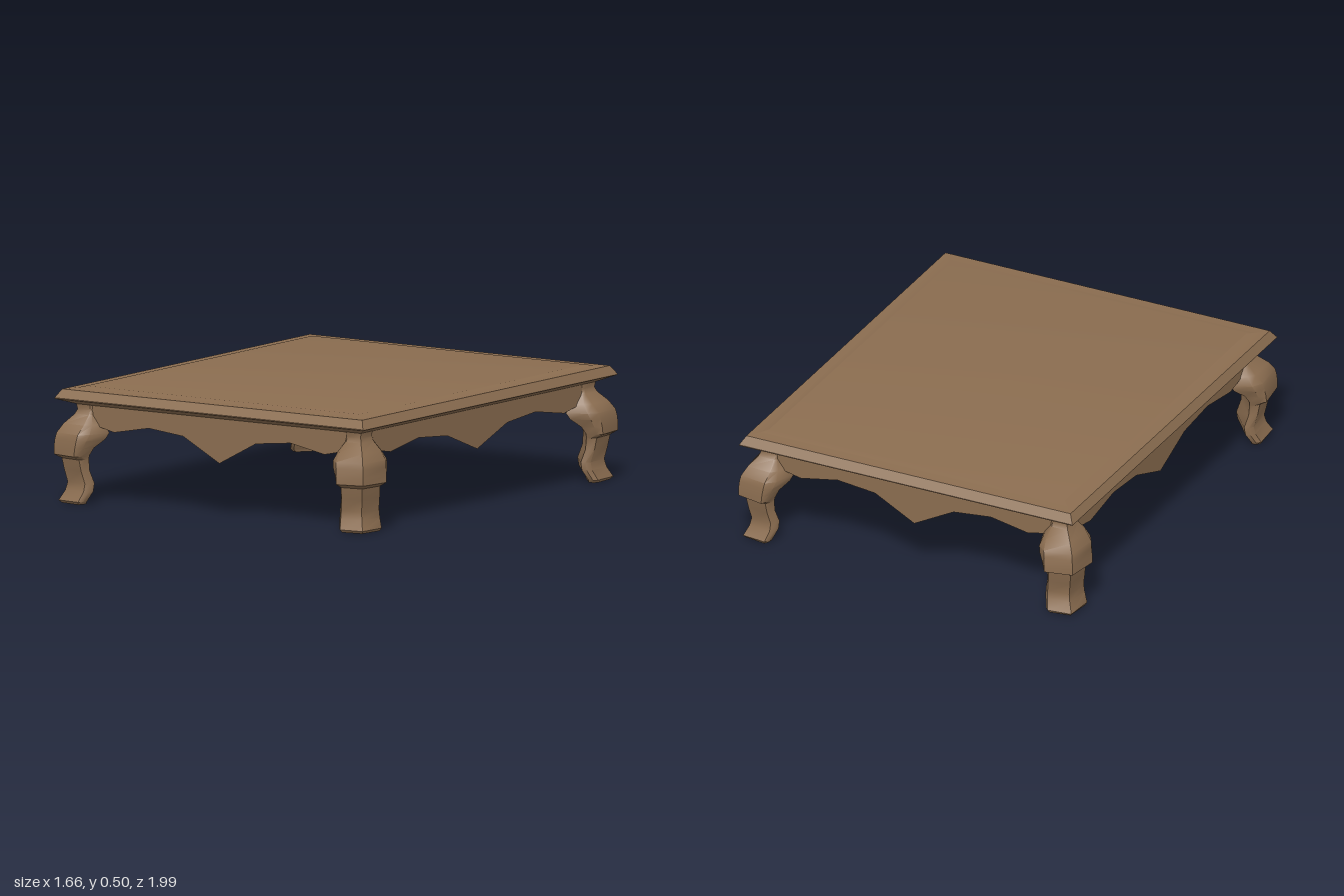
import * as THREE from 'three';
import { toCreasedNormals } from 'three/addons/utils/BufferGeometryUtils.js';

const DEPTH = 1.2; // the table is stretched along z by this ratio

const wood = new THREE.MeshStandardMaterial({ color: 0x8b6d50 });

// Skins a stack of rings (arrays of [x, y, z], anticlockwise from above) and caps both ends
function loft(rings, crease) {
  const n = rings[0].length;
  const pos = [];
  const tri = (a, b, c) => pos.push(...a, ...b, ...c);
  for (let r = 0; r < rings.length - 1; r++) {
    for (let j = 0; j < n; j++) {
      const k = (j + 1) % n;
      const [a, b, c, d] = [rings[r][j], rings[r][k], rings[r + 1][k], rings[r + 1][j]];
      tri(a, b, c);
      tri(a, c, d);
    }
  }
  const cap = (ring, up) => {
    const mid = [0, 1, 2].map((i) => ring.reduce((s, p) => s + p[i], 0) / n);
    ring.forEach((p, j) => {
      const q = ring[(j + 1) % n];
      if (up) tri(mid, p, q);
      else tri(mid, q, p);
    });
  };
  cap(rings[0], false);
  cap(rings[rings.length - 1], true);
  const geo = new THREE.BufferGeometry();
  geo.setAttribute('position', new THREE.Float32BufferAttribute(pos, 3));
  return toCreasedNormals(geo, crease);
}

function addMesh(parent, name, geo) {
  const mesh = new THREE.Mesh(geo, wood);
  mesh.name = name;
  parent.add(mesh);
  return mesh;
}

// Tabletop: half width and height of each moulding step, with a slightly raised panel
function tabletopGeometry() {
  const steps = [
    [0.742, 0.427], [0.806, 0.454], [0.806, 0.458], [0.784, 0.495], [0.74, 0.498], [0.715, 0.504],
  ];
  const rings = steps.map(([h, y]) =>
    [[h, h], [h, -h], [-h, -h], [-h, h]].map(([x, z]) => [x, y, z * DEPTH]));
  return loft(rings, 0.2);
}

// Leg: each level holds y, outer reach, outer start, corner, side edge (far, near), back facet (far, near)
const LEG_LEVELS = [
  [0.0, 0.798, 0.69, 0.785, 0.785, 0.678, 0.765, 0.674],
  [0.012, 0.804, 0.685, 0.794, 0.79, 0.67, 0.77, 0.666],
  [0.055, 0.784, 0.672, 0.775, 0.77, 0.655, 0.75, 0.649],
  [0.09, 0.778, 0.67, 0.768, 0.765, 0.653, 0.745, 0.647],
  [0.145, 0.79, 0.68, 0.778, 0.775, 0.667, 0.758, 0.661],
  [0.195, 0.797, 0.685, 0.785, 0.78, 0.668, 0.762, 0.662],
  [0.213, 0.83, 0.685, 0.808, 0.808, 0.668, 0.765, 0.657],
  [0.245, 0.828, 0.683, 0.808, 0.806, 0.66, 0.75, 0.645],
  [0.28, 0.822, 0.68, 0.805, 0.8, 0.645, 0.718, 0.613],
  [0.307, 0.818, 0.675, 0.8, 0.79, 0.636, 0.705, 0.602],
  [0.345, 0.788, 0.668, 0.78, 0.765, 0.642, 0.715, 0.62],
  [0.385, 0.75, 0.672, 0.748, 0.742, 0.662, 0.725, 0.656],
  [0.405, 0.742, 0.672, 0.74, 0.736, 0.662, 0.725, 0.658],
  [0.432, 0.746, 0.672, 0.744, 0.738, 0.662, 0.725, 0.656],
];

function legGeometry(sx, sz) {
  const rings = LEG_LEVELS.map(([y, o, b, c, e, f, d, i]) => {
    const ring = [[c, c], [o, b], [e, f], [d, i], [i, d], [f, e], [b, o]]
      .map(([x, z]) => [x * sx, y, z * sz * DEPTH]);
    return sx * sz > 0 ? ring : ring.reverse();
  });
  return loft(rings, 0.7);
}

// Apron board: scalloped lower edge with a central point, its underside rising inwards
function apronGeometry(stretch, tip) {
  const thickness = 0.06;
  const half = [[0.19, 0.333], [0.37, 0.352], [0.55, 0.318], [0.64, 0.338], [0.73, 0.36], [0.73, 0.43]];
  const outline = [[0, tip], ...half, ...half.map(([x, y]) => [-x, y]).reverse()];
  const shape = new THREE.Shape(outline.map(([x, y]) => new THREE.Vector2(x * stretch, y)));
  const geo = new THREE.ExtrudeGeometry(shape, { depth: thickness, bevelEnabled: false });
  geo.translate(0, 0, -thickness); // outer face at local z = 0
  const p = geo.attributes.position;
  for (let i = 0; i < p.count; i++) {
    if (p.getZ(i) < -0.01 && p.getY(i) < 0.42) p.setY(i, p.getY(i) + 0.045);
  }
  geo.computeVertexNormals();
  return geo;
}

export function createModel() {
  const table = new THREE.Group();
  table.name = 'lowTable';

  addMesh(table, 'tabletop', tabletopGeometry());

  // Aprons on all four sides
  const reach = 0.738;
  const shortApron = apronGeometry(1, 0.231);
  const longApron = apronGeometry(DEPTH, 0.247);
  ['frontApron', 'leftApron', 'backApron', 'rightApron'].forEach((name, turn) => {
    const angle = turn * Math.PI / 2;
    const apron = addMesh(table, name, turn % 2 ? longApron : shortApron);
    apron.rotation.y = angle;
    apron.position.set(Math.sin(angle) * reach, 0, Math.cos(angle) * reach * DEPTH);
  });

  // Four curved legs set on the diagonals
  for (const [sz, end] of [[1, 'front'], [-1, 'back']]) {
    for (const [sx, side] of [[1, 'Left'], [-1, 'Right']]) {
      addMesh(table, `${end}${side}Leg`, legGeometry(sx, sz));
    }
  }
  return table;
}
